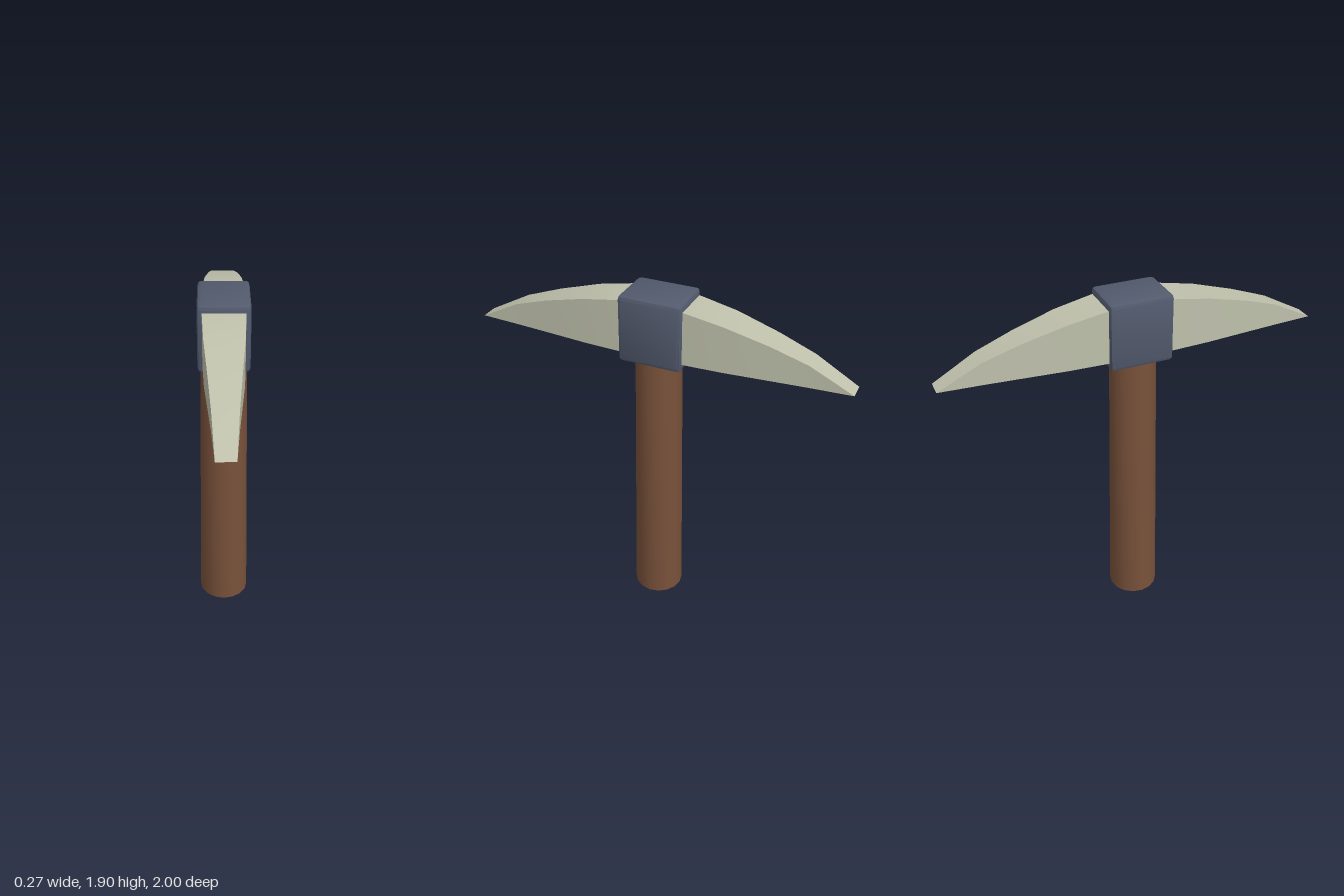
import * as THREE from 'three';
import { toCreasedNormals } from 'three/addons/utils/BufferGeometryUtils.js';
import { RoundedBoxGeometry } from 'three/addons/geometries/RoundedBoxGeometry.js';

const wood = new THREE.MeshStandardMaterial({ color: 0x78513a });
wood.name = 'brown wood';
const iron = new THREE.MeshStandardMaterial({ color: 0x525a6d });
iron.name = 'dark blue iron';
const steel = new THREE.MeshStandardMaterial({ color: 0xbec0ab });
steel.name = 'pale steel';

function addPart(group, name, geometry, material, crease) {
  const mesh = new THREE.Mesh(toCreasedNormals(geometry, crease), material);
  mesh.name = name;
  group.add(mesh);
  return mesh;
}

// Four-cornered cross-sections, flat underneath and arched on top, tapering to both tips
function bladeGeometry() {
  const bottom = 1.595;
  const half = [
    // z, top height, half width
    [0.17, 1.872, 0.105],
    [0.37, 1.835, 0.096],
    [0.59, 1.775, 0.077],
    [0.78, 1.71, 0.061],
    [1, bottom, 0.046],
  ];
  const sections = [...half.map(([z, y, w]) => [-z, y, w]).reverse(), ...half];
  const positions = [];
  const indices = [];
  sections.forEach(([z, top, w], i) => {
    positions.push(-w, bottom, z, w, bottom, z, w, top, z, -w, top, z);
    if (i === 0) return;
    for (let k = 0; k < 4; k++) {
      const a = (i - 1) * 4 + k;
      const b = (i - 1) * 4 + ((k + 1) % 4);
      indices.push(a, b, b + 4, a, b + 4, a + 4);
    }
  });
  const geometry = new THREE.BufferGeometry();
  geometry.setAttribute('position', new THREE.Float32BufferAttribute(positions, 3));
  geometry.setIndex(indices);
  return geometry;
}

export function createModel() {
  const group = new THREE.Group();
  group.name = 'pickaxe';

  // Tapered round handle with a chamfered, slightly pointed butt
  const profile = [[0, 0], [0.1, 0.018], [0.135, 0.05], [0.118, 1.58]]
    .map(([r, y]) => new THREE.Vector2(r, y));
  addPart(group, 'handle', new THREE.LatheGeometry(profile, 16), wood, 0.5);

  // Chamfered block joining the blade to the handle
  const collar = addPart(group, 'collar', new RoundedBoxGeometry(0.26, 0.35, 0.332, 1, 0.02), iron, 0.5);
  collar.position.y = 1.73;

  // Double-ended blade running through the collar
  addPart(group, 'blade', bladeGeometry(), steel, 0.6);

  return group;
}
